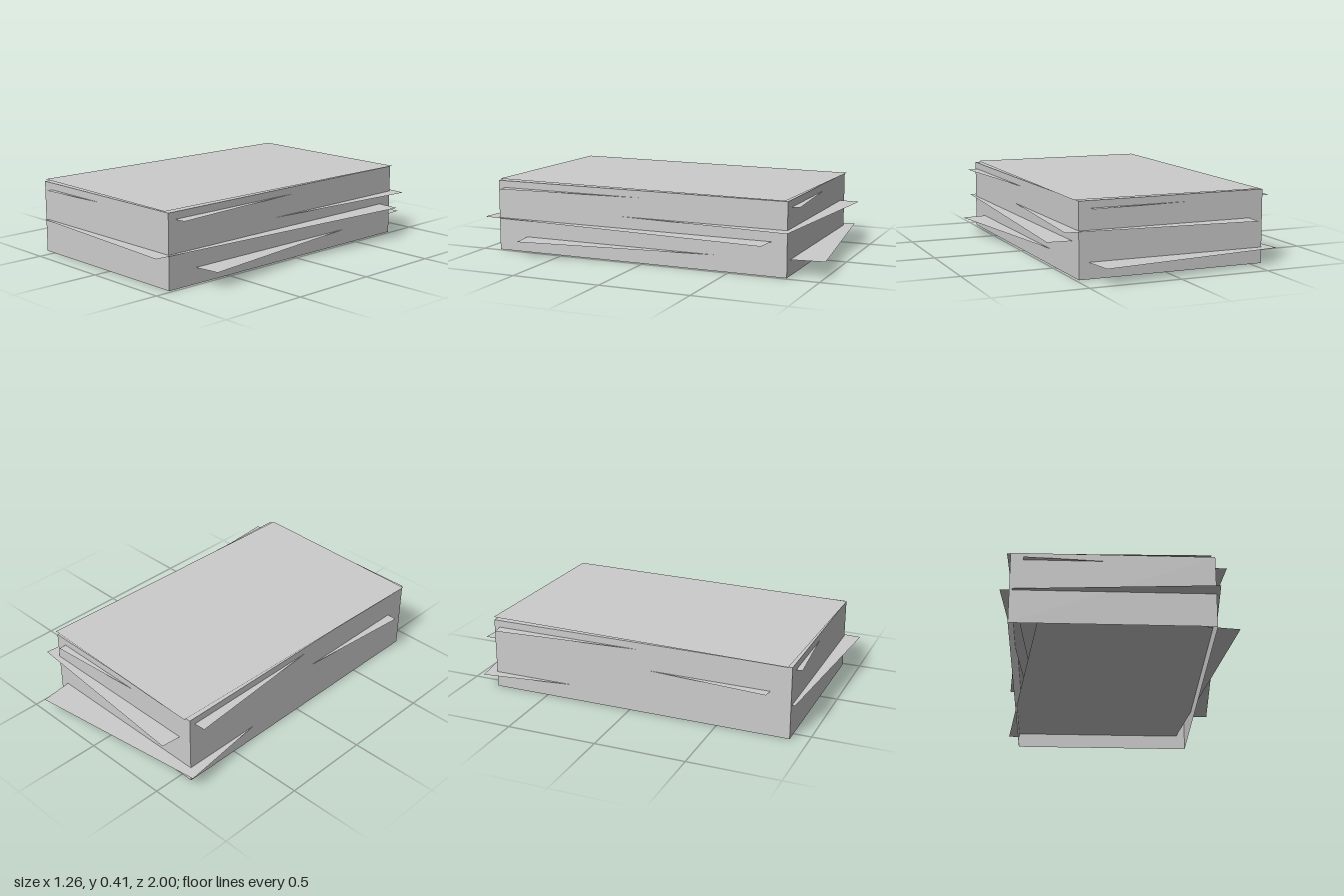
import * as THREE from 'three';

const W = 1.05, D = 1.722;

export function createModel() {
  const model = new THREE.Group();
  const material = new THREE.MeshStandardMaterial({
    color: 0xcccccc, side: THREE.DoubleSide, flatShading: true,
  });

  // Block of stacked paper: walls and top, open underneath
  const block = new THREE.BoxGeometry(W, 0.4, D);
  const index = Array.from(block.index.array);
  index.splice(18, 6); // drop the bottom face
  block.setIndex(index);
  block.clearGroups();
  const stack = new THREE.Mesh(block, material);
  stack.name = 'paperStack';
  stack.position.set(-0.042, 0.2, 0.042);
  model.add(stack);

  // Loose sheets poking out of the block: x, y, z, turn about y
  const sheet = new THREE.PlaneGeometry(W, D).rotateX(-Math.PI / 2);
  const sheets = [
    ['lowestSheet', -0.003, 0.087, -0.081, 0.128],
    ['lowerSheet', 0.032, 0.185, 0.098, -0.071],
    ['middleSheet', -0.029, 0.25, -0.029, -0.083],
    ['upperSheet', -0.042, 0.361, 0.037, 0.077],
    ['topSheet', -0.041, 0.406, 0.037, -0.024],
  ];
  for (const [name, x, y, z, turn] of sheets) {
    const mesh = new THREE.Mesh(sheet, material);
    mesh.name = name;
    mesh.position.set(x, y, z);
    mesh.rotation.y = turn;
    model.add(mesh);
  }
  return model;
}
